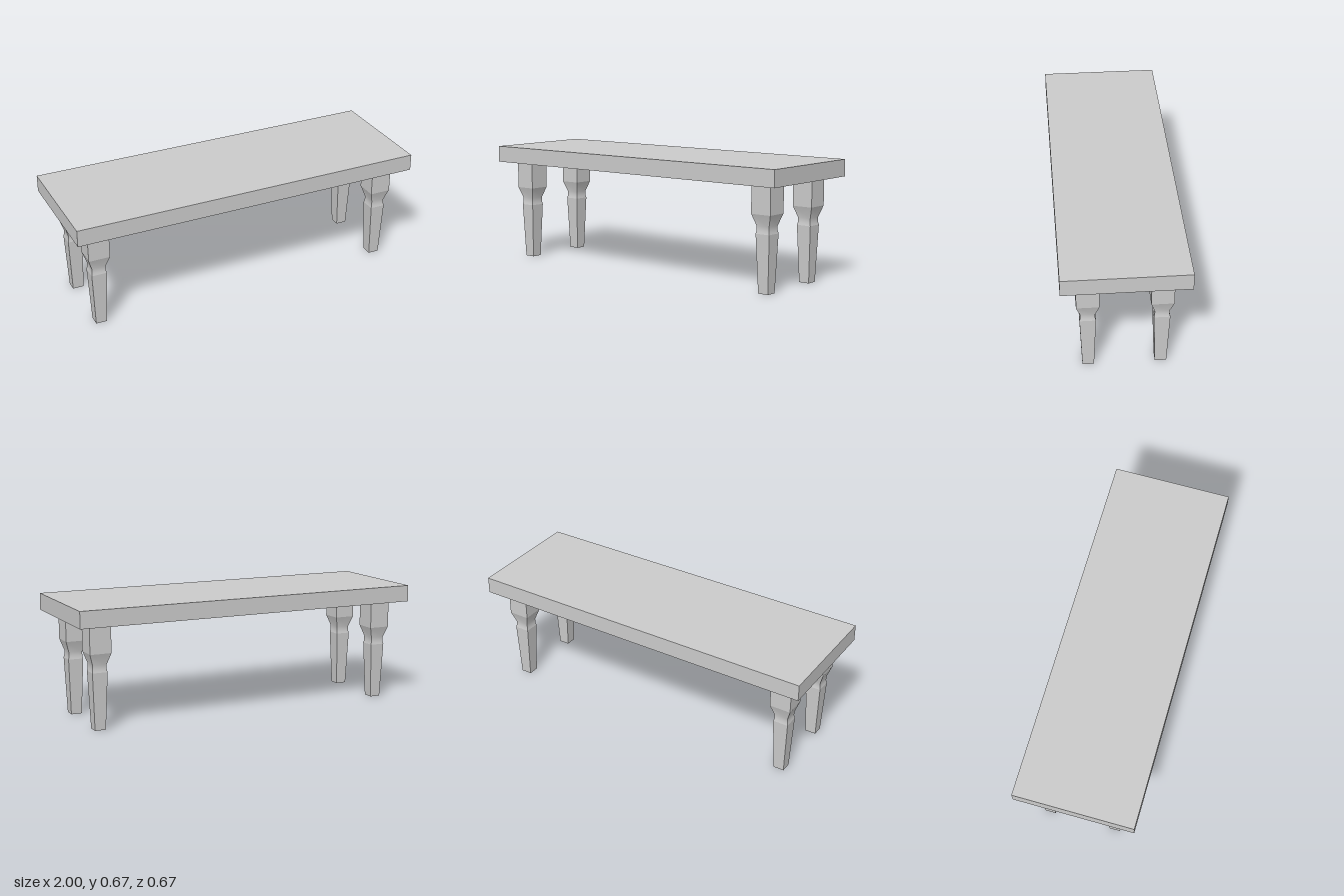
import * as THREE from 'three';
import { toCreasedNormals } from 'three/addons/utils/BufferGeometryUtils.js';

const material = new THREE.MeshStandardMaterial({ color: 0xcccccc });

// Square-section turning: profile is [half width, height] from bottom to top
function squareLoft(profile) {
  const points = profile.map(([half, y]) => new THREE.Vector2(half * Math.SQRT2, y));
  return toCreasedNormals(new THREE.LatheGeometry(points, 4, Math.PI / 4), 0.7);
}

function addPart(parent, name, geometry, y = 0) {
  const mesh = new THREE.Mesh(geometry, material);
  mesh.name = name;
  mesh.position.y = y;
  parent.add(mesh);
}

export function createModel() {
  const table = new THREE.Group();
  table.name = 'table';

  // Slab top
  addPart(table, 'tableTop', new THREE.BoxGeometry(2, 0.093, 0.667), 0.6215);

  // Leg sections, shared by all four legs
  const taper = squareLoft([[0, 0], [0.0305, 0], [0.0425, 0.315]]);
  const neck = squareLoft([[0.0425, 0.315], [0.0388, 0.331], [0.0388, 0.356], [0.0597, 0.419]]);
  const block = new THREE.BoxGeometry(0.1194, 0.156, 0.1194);

  for (const [side, x] of [['Left', 0.862], ['Right', -0.862]]) {
    for (const [end, z] of [['front', 0.192], ['back', -0.192]]) {
      const leg = new THREE.Group();
      leg.name = `${end}${side}Leg`;
      leg.position.set(x, 0, z);
      addPart(leg, 'legTaper', taper);
      addPart(leg, 'legNeck', neck);
      addPart(leg, 'legBlock', block, 0.497);
      table.add(leg);
    }
  }
  return table;
}
